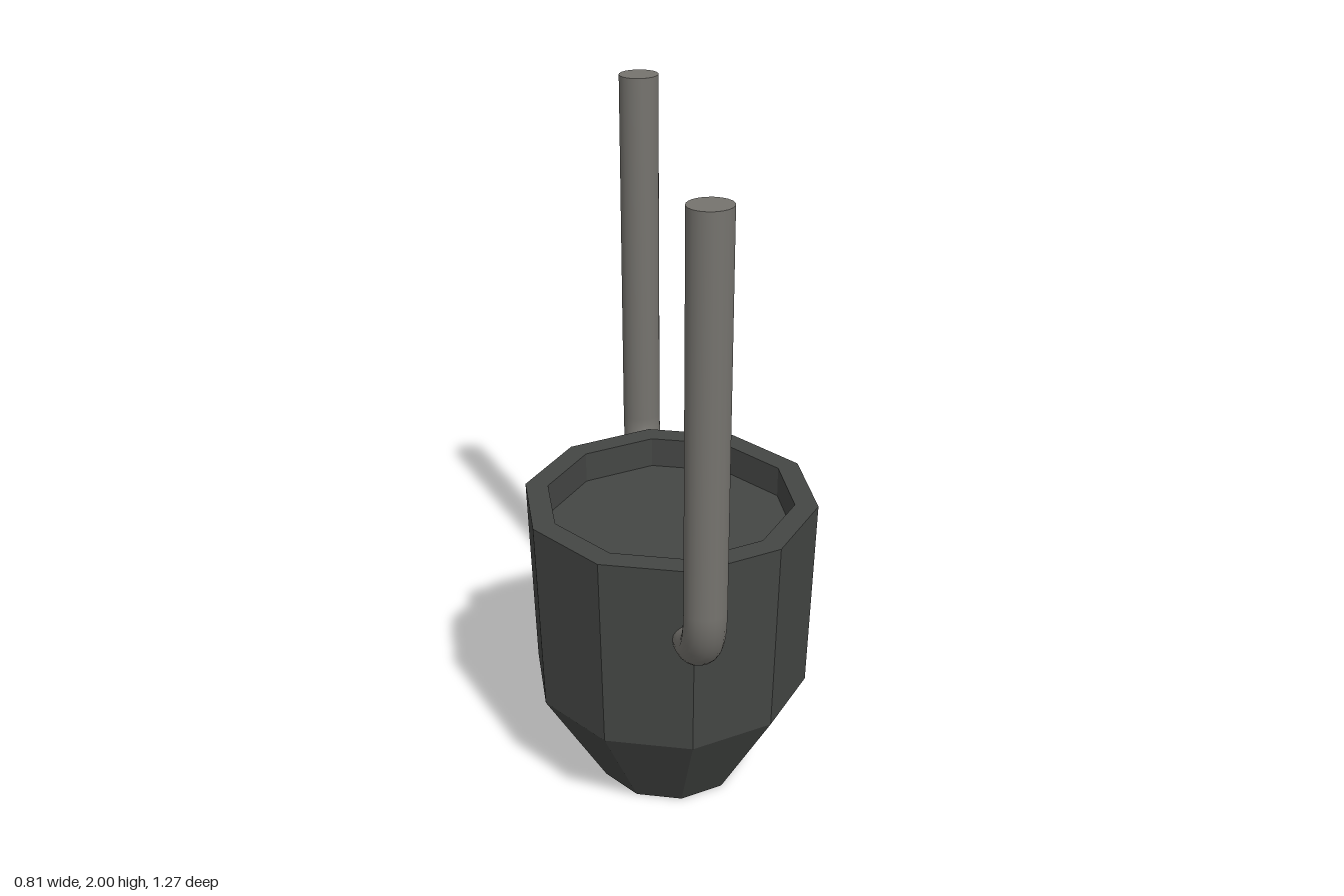
import * as THREE from 'three';

const potMaterial = new THREE.MeshStandardMaterial({ color: 0x444644, flatShading: true });
const pipeMaterial = new THREE.MeshStandardMaterial({ color: 0x75736e });

// Ten-sided tapered pot with a recessed top
function makePot() {
  const profile = [
    [0, 0], [0.222, 0], [0.412, 0.335], [0.427, 0.933],
    [0.36, 0.933], [0.36, 0.84], [0, 0.84],
  ].map(([r, y]) => new THREE.Vector2(r, y));
  const pot = new THREE.Mesh(new THREE.LatheGeometry(profile, 10), potMaterial);
  pot.name = 'pot';
  return pot;
}

// Upright pipe that bends in at its foot and enters the pot wall
function makePipe(name) {
  const z = 0.582, bendY = 0.915, bend = 0.21, radius = 0.0525, sides = 20;
  const k = bend * 0.448;
  const path = new THREE.CurvePath();
  path.add(new THREE.LineCurve3(new THREE.Vector3(0, 2, z), new THREE.Vector3(0, bendY, z)));
  path.add(new THREE.CubicBezierCurve3(
    new THREE.Vector3(0, bendY, z),
    new THREE.Vector3(0, bendY - bend + k, z),
    new THREE.Vector3(0, bendY - bend, z - k),
    new THREE.Vector3(0, bendY - bend, z - bend),
  ));
  const pipe = new THREE.Group();
  pipe.name = name;
  const tube = new THREE.Mesh(new THREE.TubeGeometry(path, 60, radius, sides), pipeMaterial);
  tube.name = 'pipeTube';

  // Flat closed ends: one on top, one inside the pot
  const topCap = new THREE.Mesh(new THREE.CircleGeometry(radius, sides), pipeMaterial);
  topCap.name = 'pipeTop';
  topCap.rotation.x = -Math.PI / 2;
  topCap.position.set(0, 2, z);
  const innerCap = new THREE.Mesh(new THREE.CircleGeometry(radius, sides), pipeMaterial);
  innerCap.name = 'pipeInnerEnd';
  innerCap.rotation.y = Math.PI;
  innerCap.position.set(0, bendY - bend, z - bend);

  pipe.add(tube, topCap, innerCap);
  pipe.scale.x = 1.1; // slightly oval section
  return pipe;
}

export function createModel() {
  const model = new THREE.Group();
  model.name = 'potWithPipes';
  const front = makePipe('frontPipe');
  const back = makePipe('backPipe');
  back.rotation.y = Math.PI;
  model.add(makePot(), front, back);
  return model;
}
